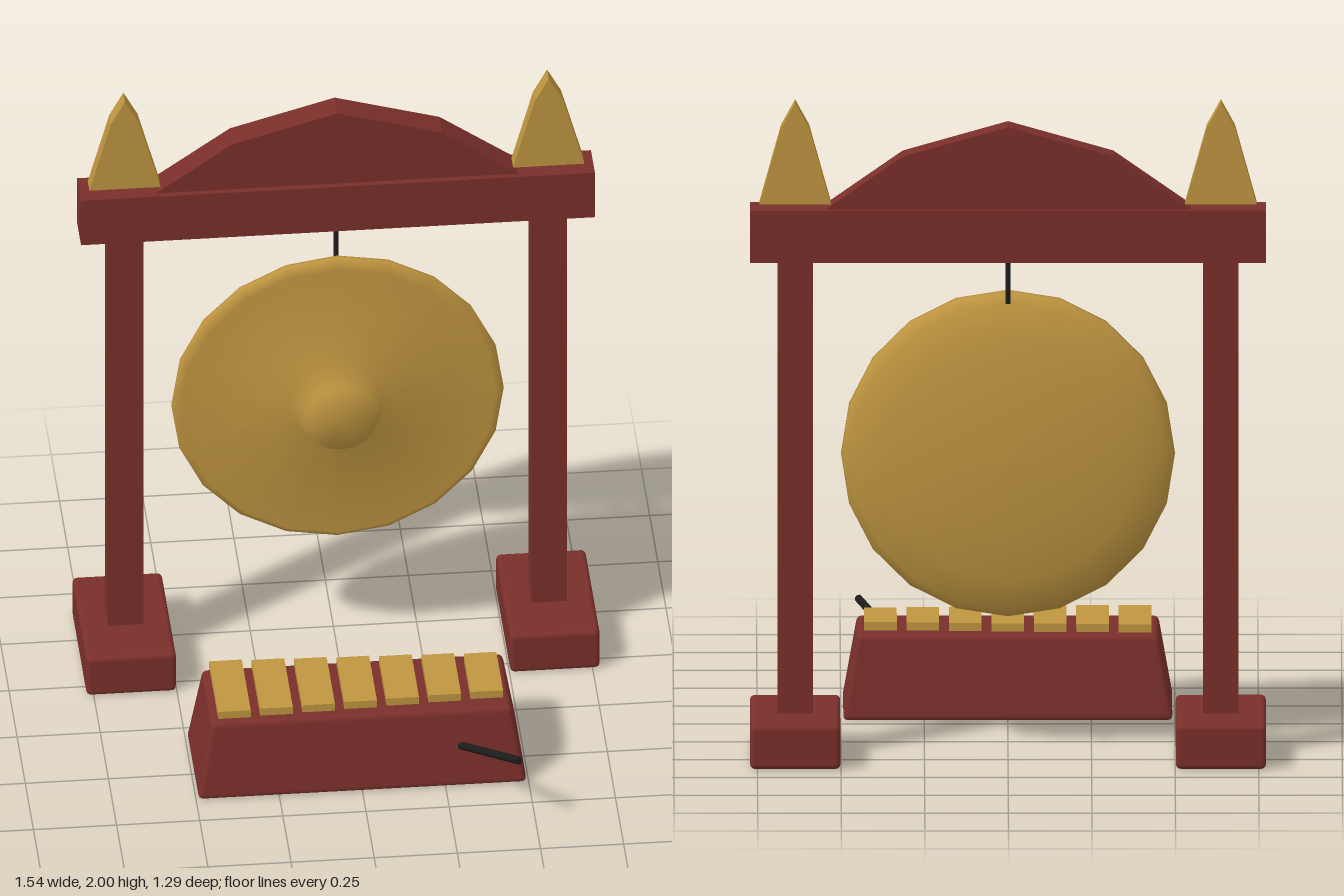
import * as THREE from 'three';
import { RoundedBoxGeometry } from 'three/addons/geometries/RoundedBoxGeometry.js';

const wood = new THREE.MeshStandardMaterial({ color: 0x7a2f2a });
const brass = new THREE.MeshStandardMaterial({ color: 0xbf9540 });
const black = new THREE.MeshStandardMaterial({ color: 0x1c1c1c });

const FRAME_Z = -0.42; // depth of the standing frame

export function createModel() {
  const model = new THREE.Group();

  const add = (parent, name, geometry, material, x = 0, y = 0, z = 0) => {
    const mesh = new THREE.Mesh(geometry, material);
    mesh.name = name;
    mesh.position.set(x, y, z);
    parent.add(mesh);
    return mesh;
  };

  // Flat outline in the front plane, given thickness centred on z = 0
  const plate = (points, depth) => {
    const shape = new THREE.Shape(points.map(([x, y]) => new THREE.Vector2(x, y)));
    return new THREE.ExtrudeGeometry(shape, { depth, bevelEnabled: false }).translate(0, 0, -depth / 2);
  };

  // Straight rod between two points
  const rod = (parent, name, from, to, radius) => {
    const path = new THREE.LineCurve3(from, to);
    const mesh = add(parent, name, new THREE.CylinderGeometry(radius, radius, path.getLength(), 8), black);
    mesh.position.copy(path.getPoint(0.5));
    mesh.quaternion.setFromUnitVectors(new THREE.Vector3(0, 1, 0), path.getTangent(0));
    return mesh;
  };

  // Frame: feet, posts and finials on both sides, joined by a beam with a crest
  const frame = new THREE.Group();
  frame.name = 'frame';
  frame.position.z = FRAME_Z;
  model.add(frame);

  const finialOutline = [[-0.107, 0], [0.107, 0], [0.042, 0.235], [0, 0.312], [-0.042, 0.235]];
  for (const [side, s] of [['left', 1], ['right', -1]]) {
    add(frame, side + 'Foot', new RoundedBoxGeometry(0.27, 0.135, 0.45, 2, 0.015), wood, s * 0.637, 0.0675, 0);
    add(frame, side + 'Post', new THREE.BoxGeometry(0.106, 1.4, 0.106), wood, s * 0.637, 0.825, 0);
    add(frame, side + 'Finial', plate(finialOutline, 0.052), brass, s * 0.637, 1.688, 0);
  }
  add(frame, 'beam', new THREE.BoxGeometry(1.545, 0.16, 0.122), wood, 0, 1.597, 0);
  const crestOutline = [[-0.55, 0], [0.55, 0], [0.315, 0.165], [0, 0.255], [-0.315, 0.165]];
  add(frame, 'crest', plate(crestOutline, 0.086), wood, 0, 1.674, 0);

  // Gong: turned profile from the domed back, round the rim, to the front boss
  const gongProfile = [
    [0, -0.058], [0.12, -0.055], [0.25, -0.045], [0.38, -0.026], [0.47, 0], [0.497, 0.03],
    [0.5, 0.045], [0.472, 0.072], [0.145, 0.074], [0.11, 0.168], [0, 0.168],
  ].map(([r, h]) => new THREE.Vector2(r, h));
  add(model, 'gong', new THREE.LatheGeometry(gongProfile, 20).rotateX(Math.PI / 2), brass, 0, 0.912, FRAME_Z);
  rod(model, 'gongCord', new THREE.Vector3(0, 1.38, FRAME_Z), new THREE.Vector3(0, 1.53, FRAME_Z), 0.008);

  // Chime box: rounded block narrowing towards the top
  const chime = new THREE.Group();
  chime.name = 'chime';
  chime.position.z = 0.217;
  model.add(chime);
  const boxGeometry = new RoundedBoxGeometry(0.99, 0.255, 0.356, 2, 0.016).translate(0, 0.1275, 0);
  const p = boxGeometry.attributes.position;
  for (let i = 0; i < p.count; i++) {
    const t = p.getY(i) / 0.255;
    p.setX(i, p.getX(i) * (1 - 0.09 * t));
    p.setZ(i, p.getZ(i) * (1 - 0.16 * t));
  }
  boxGeometry.computeVertexNormals();
  add(chime, 'chimeBox', boxGeometry, wood);

  // Seven keys, shorter towards the left
  for (let i = 0; i < 7; i++) {
    const length = 0.274 - 0.011 * i;
    add(chime, 'key' + (i + 1), new THREE.BoxGeometry(0.098, 0.025, length), brass, (i - 3) * 0.127, 0.275, -0.002);
  }

  // Mallet resting against the chime box
  rod(model, 'mallet', new THREE.Vector3(0.275, 0.118, 0.335), new THREE.Vector3(0.447, 0.246, 0.638), 0.012);

  return model;
}
